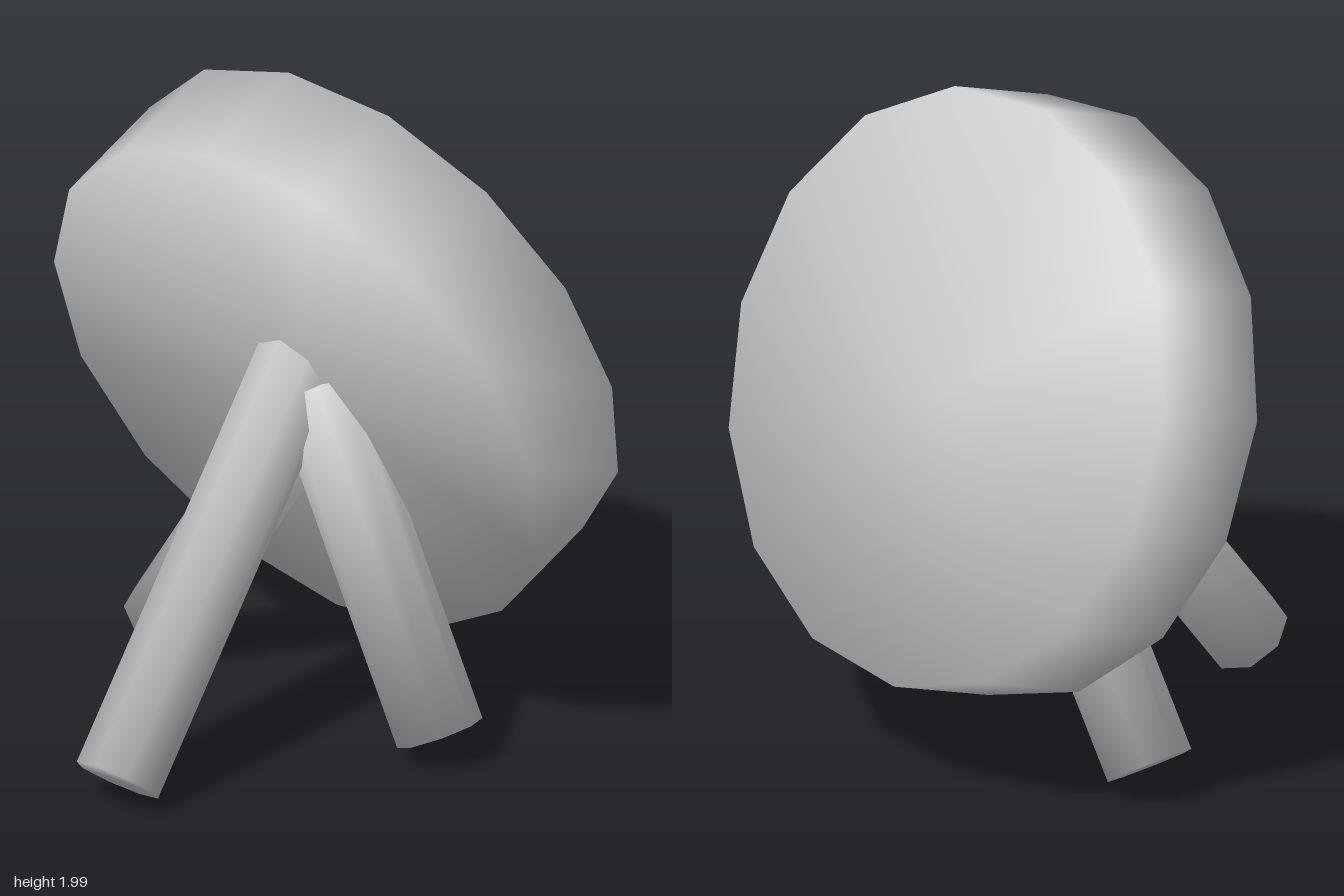
import * as THREE from 'three';

const material = new THREE.MeshStandardMaterial({ color: 0xcccccc });

// Cylinder whose normals blend smoothly from the side into both caps
function softCylinder(radius, height, sides, thetaStart = 0) {
  const geo = new THREE.CylinderGeometry(radius, radius, height, sides, 1, false, thetaStart);
  const pos = geo.attributes.position;
  const n = new THREE.Vector3();
  for (let i = 0; i < pos.count; i++) {
    n.set(pos.getX(i) / radius, Math.sign(pos.getY(i)), pos.getZ(i) / radius).normalize();
    geo.attributes.normal.setXYZ(i, n.x, n.y, n.z);
  }
  return geo;
}

// Octagonal leg running from the middle of its foot along a direction
function makeLeg(name, foot, direction, length) {
  const dir = new THREE.Vector3(...direction).normalize();
  const leg = new THREE.Mesh(softCylinder(0.13, length, 8), material);
  leg.name = name;
  leg.quaternion.setFromUnitVectors(new THREE.Vector3(0, 1, 0), dir);
  leg.position.set(...foot).addScaledVector(dir, length / 2);
  return leg;
}

export function createModel() {
  const group = new THREE.Group();
  group.name = 'discOnTripod';

  // Thick fifteen-sided disc, its top leaning forward
  const discGeo = softCylinder(0.873, 0.388, 15, Math.PI / 2);
  discGeo.rotateX(Math.PI / 2);
  const disc = new THREE.Mesh(discGeo, material);
  disc.name = 'disc';
  disc.rotation.x = 0.342;
  disc.position.set(-0.007, 1.115, -0.302);
  group.add(disc);

  // Three legs meeting at the front of the disc
  group.add(
    makeLeg('frontLeg', [-0.02, 0.09, 0.678], [0, 0.782, -0.624], 1.4),
    makeLeg('leftLeg', [0.5, 0.095, -0.15], [-0.43, 0.9, 0], 1.08),
    makeLeg('rightLeg', [-0.585, 0.11, -0.225], [0.54, 0.845, 0], 1.1)
  );
  return group;
}
